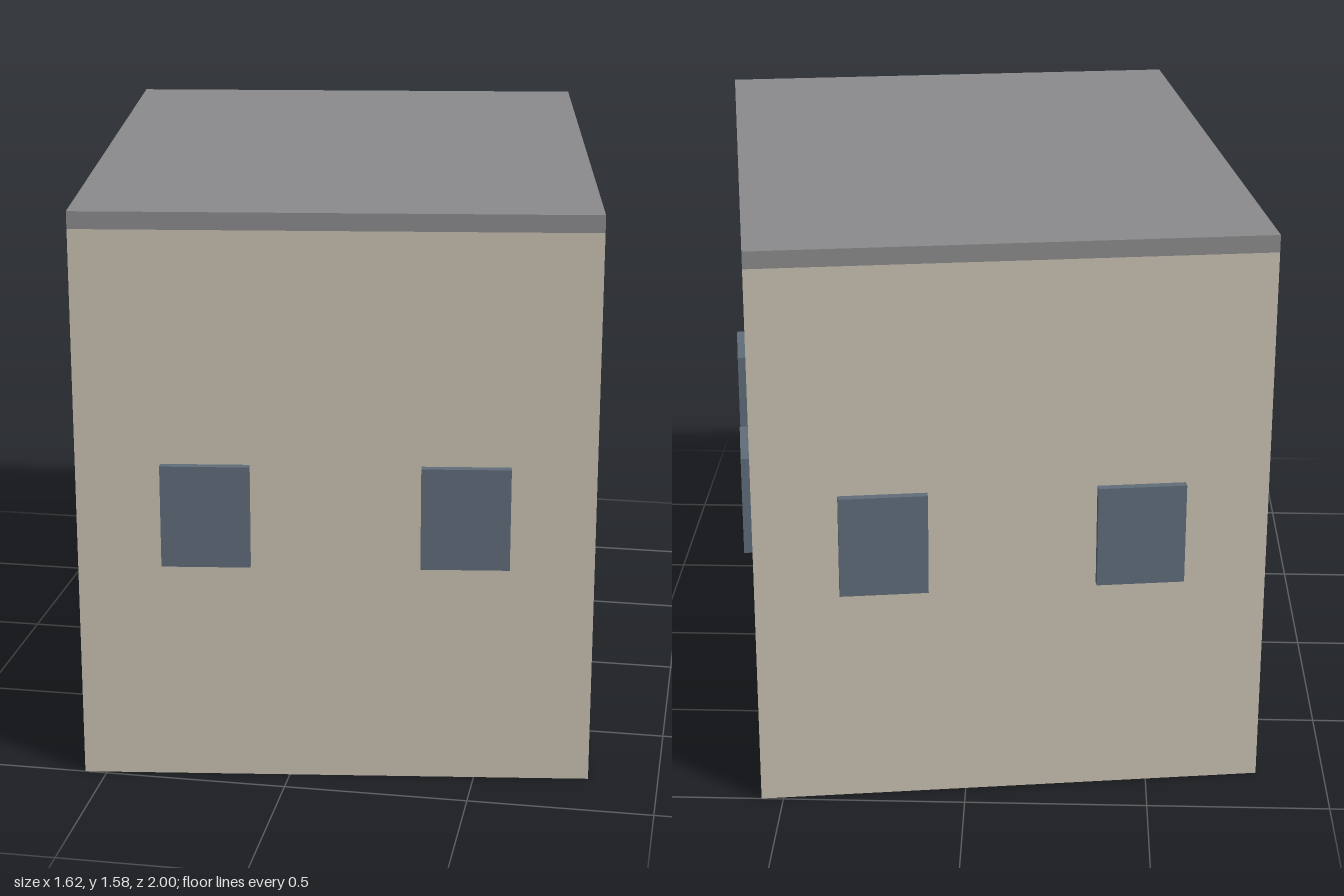
import * as THREE from 'three';

export function createModel() {
  const W = 1.384, D = 1.828, WALL_H = 1.533, ROOF_H = 0.047;
  const WIN_W = 0.238, WIN_H = 0.282, WIN_Y = 0.757, WIN_OUT = 0.023;

  const mat = (name, color) => {
    const m = new THREE.MeshStandardMaterial({ color });
    m.name = name;
    return m;
  };
  const wall = mat('beige wall', 0xc8bfb0);
  const roof = mat('grey roof', 0x8a8a8c);
  const glass = mat('blue grey glass', 0x5f6c79);

  const group = new THREE.Group();
  group.name = 'building';

  const box = (name, w, h, d, material, x, y, z, parent = group) => {
    const mesh = new THREE.Mesh(new THREE.BoxGeometry(w, h, d), material);
    mesh.name = name;
    mesh.position.set(x, y, z);
    parent.add(mesh);
  };

  // Main block and flat roof slab
  const house = new THREE.Group();
  house.name = 'house';
  house.rotation.y = 0.1375;
  group.add(house);
  box('walls', W, WALL_H, D, wall, 0, WALL_H / 2, 0, house);
  box('roofSlab', W, ROOF_H, D, roof, 0, WALL_H + ROOF_H / 2, 0, house);

  // Window panels standing proud of each wall; positions run along the wall
  const sides = [
    { name: 'front', turn: 0, dist: D / 2, at: [-W / 4, W / 4] },
    { name: 'back', turn: Math.PI, dist: D / 2, at: [-W / 4, W / 4] },
    { name: 'left', turn: Math.PI / 2, dist: W / 2, at: [-0.29, 0.513] },
    { name: 'right', turn: -Math.PI / 2, dist: W / 2, at: [-D / 3, 0, D / 3] },
  ];
  for (const side of sides) {
    const row = new THREE.Group();
    row.name = side.name + 'Windows';
    row.rotation.y = side.turn;
    house.add(row);
    for (const x of side.at) {
      box(side.name + 'Window', WIN_W, WIN_H, WIN_OUT, glass, x, WIN_Y, side.dist + WIN_OUT / 2, row);
    }
  }
  return group;
}
